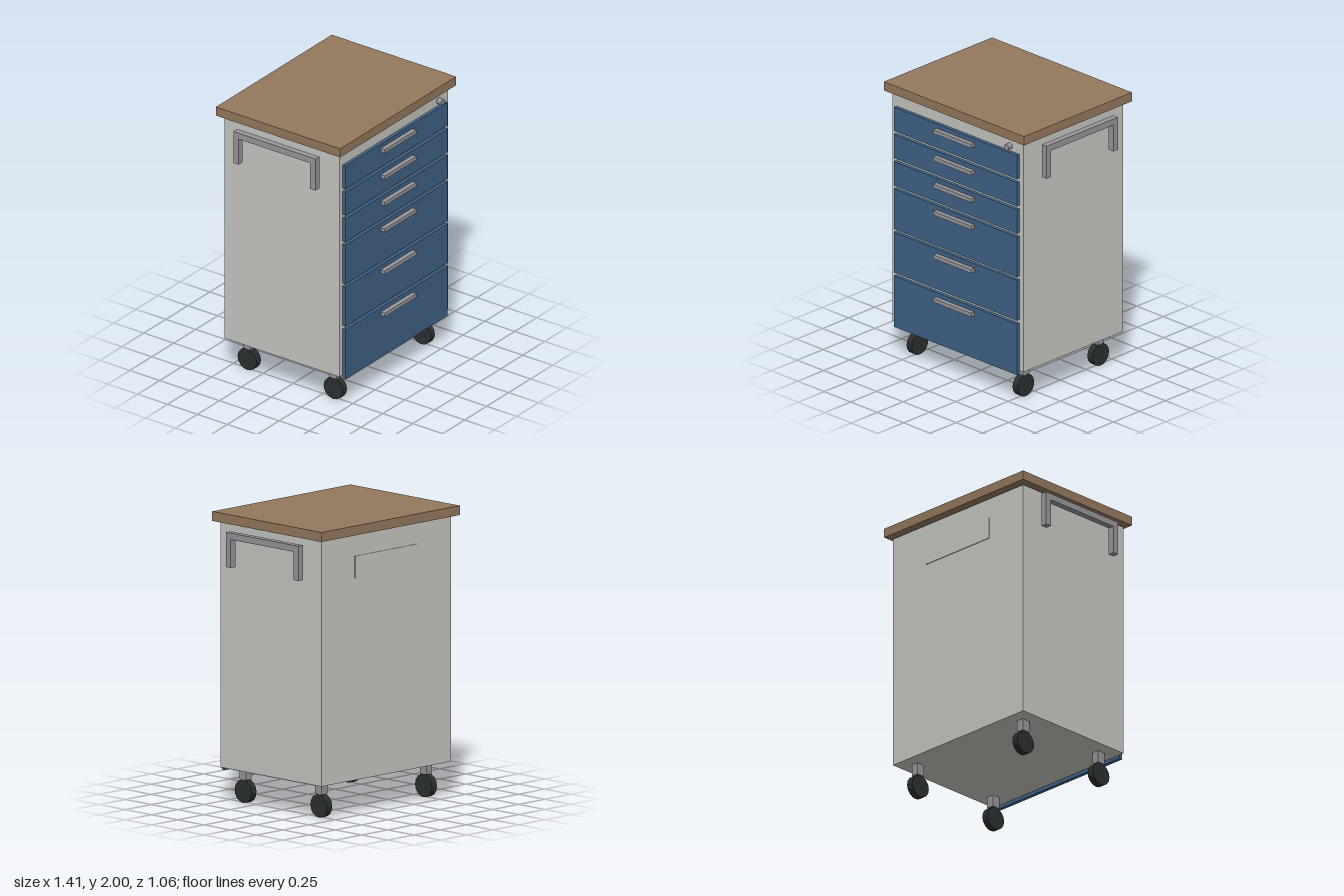
import * as THREE from 'three';

const paint = (color) => new THREE.MeshStandardMaterial({ color });

export function createModel() {
  const model = new THREE.Group();
  const wood = paint(0x94785c);
  const shell = paint(0xc5c6c0);
  const blue = paint(0x3f6285);
  const metal = paint(0x96969a);
  const rubber = paint(0x2b2f30);
  rubber.flatShading = true;

  // box given by its extents along each axis
  function box(name, [x0, x1], [y0, y1], [z0, z1], material, parent = model) {
    const mesh = new THREE.Mesh(new THREE.BoxGeometry(x1 - x0, y1 - y0, z1 - z0), material);
    mesh.position.set((x0 + x1) / 2, (y0 + y1) / 2, (z0 + z1) / 2);
    mesh.name = name;
    parent.add(mesh);
    return mesh;
  }

  // cabinet and worktop
  box('worktop', [-0.66, 0.66], [1.935, 2], [-0.53, 0.51], wood);
  box('cabinet', [-0.618, 0.618], [0.242, 1.923], [-0.487, 0.472], shell);
  box('backLabelPlate', [-0.3, 0.3], [1.63, 1.782], [-0.493, -0.487], shell);

  // drawers: bottom, top and handle height
  const drawers = [
    [1.658, 1.833, 1.787], [1.458, 1.633, 1.587], [1.257, 1.433, 1.387],
    [0.937, 1.233, 1.187], [0.617, 0.914, 0.867], [0.217, 0.592, 0.546],
  ];
  drawers.forEach(([bottom, top, grip], i) => {
    const drawer = new THREE.Group();
    drawer.name = `drawer${i + 1}`;
    box('drawerFront', [-0.58, 0.58], [bottom, top], [0.472, 0.497], blue, drawer);
    box('drawerHandle', [-0.18, 0.18], [grip - 0.014, grip + 0.014], [0.497, 0.53], metal, drawer);
    model.add(drawer);
  });

  // lock cylinder
  const lock = new THREE.Mesh(new THREE.CylinderGeometry(0.022, 0.022, 0.037, 16), metal);
  lock.rotation.x = Math.PI / 2;
  lock.position.set(0.5, 1.875, 0.498);
  lock.name = 'lock';
  model.add(lock);

  for (const side of [1, -1]) {
    // push handle: one bar with two hanging legs
    const handle = new THREE.Group();
    handle.name = side > 0 ? 'leftPushHandle' : 'rightPushHandle';
    const xs = side > 0 ? [0.658, 0.703] : [-0.703, -0.658];
    box('handleBar', xs, [1.842, 1.887], [-0.352, 0.336], metal, handle);
    box('handleLegFront', xs, [1.648, 1.842], [0.291, 0.336], metal, handle);
    box('handleLegBack', xs, [1.648, 1.842], [-0.352, -0.307], metal, handle);
    model.add(handle);

    // casters
    for (const z of [0.352, -0.368]) {
      const caster = new THREE.Group();
      caster.name = 'caster';
      box('casterStem', [-0.027, 0.027], [0.16, 0.242], [-0.031, 0.031], metal, caster);
      const wheel = new THREE.Mesh(new THREE.CylinderGeometry(0.08, 0.08, 0.048, 16), rubber);
      wheel.rotation.z = Math.PI / 2;
      wheel.position.y = 0.08;
      wheel.name = 'wheel';
      caster.add(wheel);
      caster.position.set(side * 0.5, 0, z);
      model.add(caster);
    }
  }
  return model;
}
